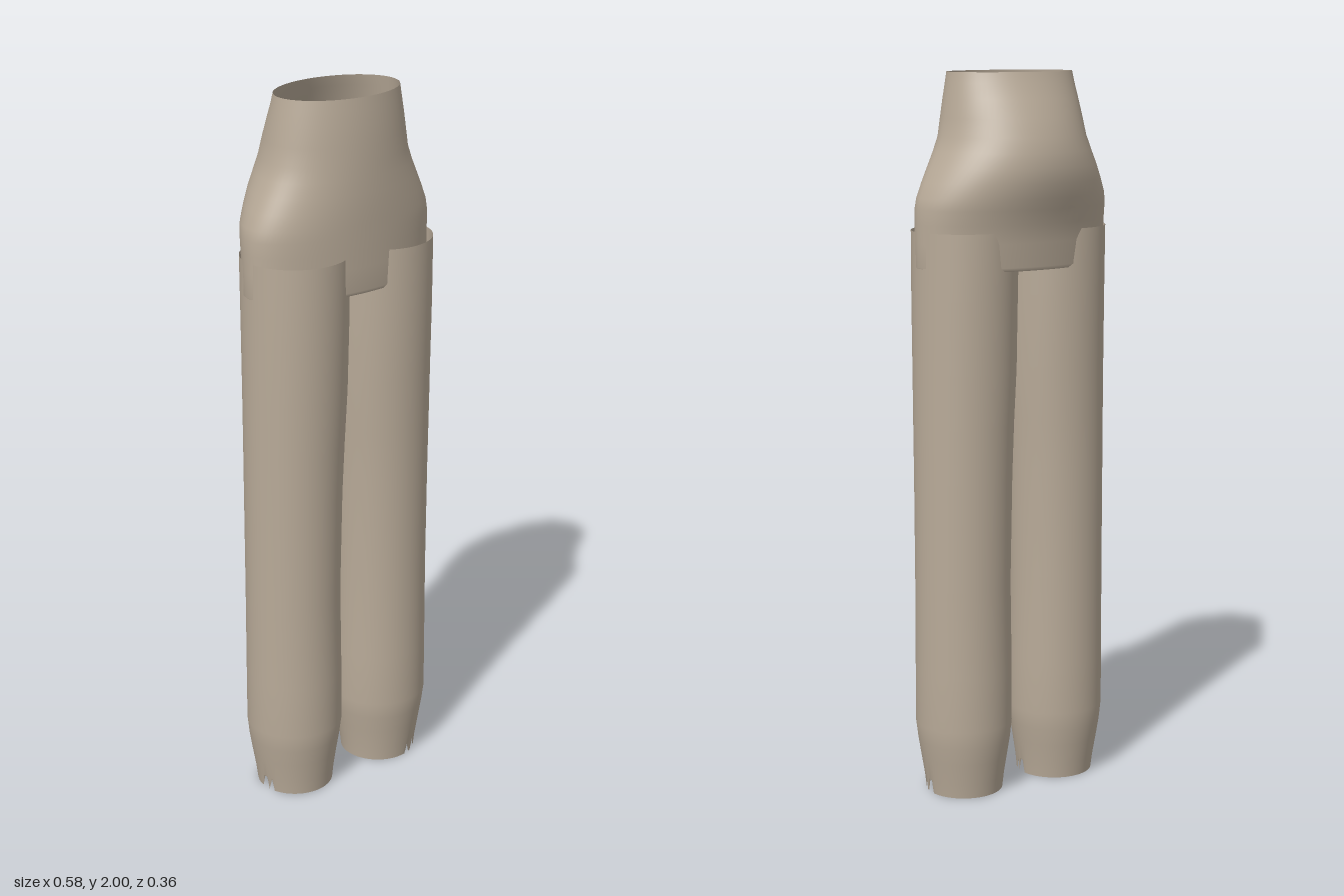
import * as THREE from 'three';

const SEG = 72;

// Open tube through oval rings, top to bottom. Row: [y, xMin, xMax, zFront, zBack]
// hem(angle) lifts the last ring.
function loft(rows, midZ, hem) {
  const pos = [], idx = [];
  rows.forEach(([y, x0, x1, zf, zb], r) => {
    const cx = (x0 + x1) / 2, rx = (x1 - x0) / 2;
    const cz = midZ ?? (zf + zb) / 2;
    for (let i = 0; i < SEG; i++) {
      const a = (i / SEG) * Math.PI * 2, s = Math.sin(a);
      const lift = hem && r === rows.length - 1 ? hem(i) : 0;
      pos.push(cx + rx * Math.cos(a), y + lift, cz + s * (s > 0 ? zf - cz : cz - zb));
    }
  });
  for (let r = 0; r < rows.length - 1; r++) {
    for (let i = 0; i < SEG; i++) {
      const j = (i + 1) % SEG, t = r * SEG, b = t + SEG;
      idx.push(b + i, t + i, b + j, t + i, t + j, b + j);
    }
  }
  const g = new THREE.BufferGeometry();
  g.setAttribute('position', new THREE.Float32BufferAttribute(pos, 3));
  g.setIndex(idx);
  g.computeVertexNormals();
  return g;
}

export function createModel() {
  const group = new THREE.Group();
  const cloth = new THREE.MeshStandardMaterial({ color: 0xb8aa98, side: THREE.DoubleSide });
  cloth.name = 'beige cloth';
  const add = (name, geometry) => {
    const mesh = new THREE.Mesh(geometry, cloth);
    mesh.name = name;
    group.add(mesh);
    return mesh;
  };

  // Waist and hips: [y, half width, front, back]
  const hips = [
    [2, 0.185, 0.155, -0.095], [1.97, 0.19, 0.158, -0.106], [1.93, 0.197, 0.162, -0.125],
    [1.88, 0.205, 0.165, -0.147], [1.83, 0.213, 0.167, -0.165], [1.79, 0.229, 0.168, -0.174],
    [1.75, 0.248, 0.169, -0.178], [1.71, 0.267, 0.169, -0.173], [1.67, 0.284, 0.168, -0.162],
    [1.64, 0.29, 0.167, -0.151], [1.6, 0.291, 0.166, -0.138], [1.55, 0.291, 0.164, -0.126],
    [1.485, 0.291, 0.162, -0.121], [1.475, 0.283, 0.156, -0.115],
  ];
  add('hips', loft(hips.map(([y, w, f, b]) => [y, -w, w, f, b]), 0.03));

  // Half-oval panel closing the front of the hips
  const half = new THREE.Shape();
  half.absellipse(0, 0, 0.29, 0.134, Math.PI, Math.PI * 2, false, 0);
  const panel = add('frontPanel', new THREE.ShapeGeometry(half, 32));
  panel.rotation.x = -Math.PI / 2;
  panel.position.set(0, 1.582, 0.03);

  // Legs: [y, inner x, outer x, front, back]
  const leg = [
    [1.58, -0.004, 0.289, 0.178, -0.113], [1.4, -0.002, 0.289, 0.177, -0.109],
    [1.2, 0.001, 0.289, 0.172, -0.105], [1.05, 0.009, 0.289, 0.168, -0.102],
    [0.9, 0.015, 0.289, 0.164, -0.1], [0.6, 0.021, 0.289, 0.161, -0.098],
    [0.35, 0.018, 0.289, 0.165, -0.101], [0.2, 0.018, 0.289, 0.167, -0.102],
    [0.15, 0.024, 0.283, 0.161, -0.098], [0.1, 0.032, 0.275, 0.153, -0.09],
    [0.04, 0.041, 0.265, 0.144, -0.08], [0, 0.045, 0.26, 0.14, -0.075],
  ];
  // Torn hem: notches in the outer front of the left leg, and at the sides of the right
  const leftHem = (i) => (i < 19 && [0, 1, 4, 5, 8, 11, 12, 15].includes(i) ? 0.035 : 0);
  const rightHem = (i) => ([0, 1, 3, 33, 35, 36].includes(i) ? 0.035 : 0);
  add('leftLeg', loft(leg, undefined, leftHem));
  add('rightLeg', loft(leg.map(([y, n, o, f, b]) => [y, -o, -n, f, b]), undefined, rightHem));

  return group;
}
